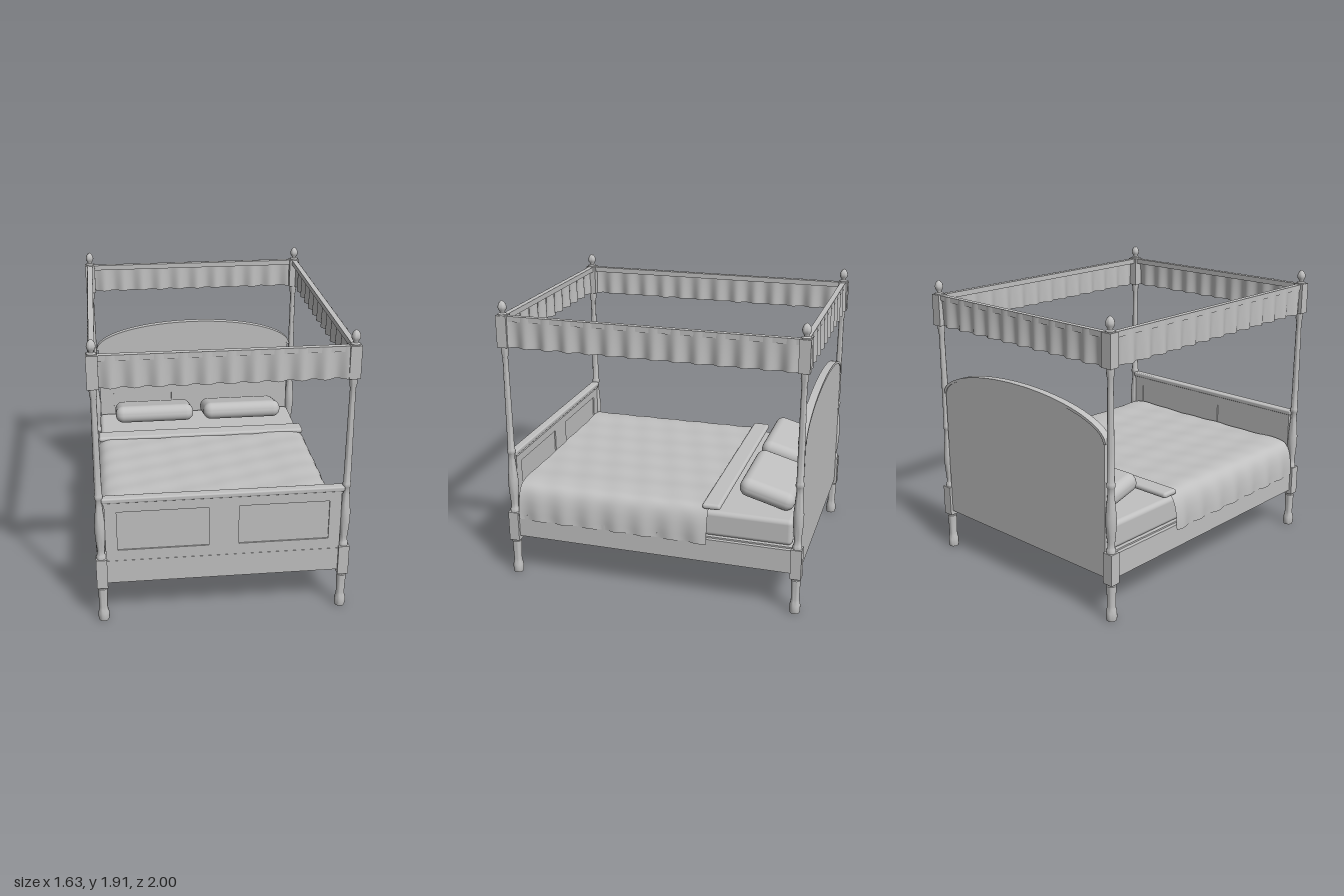
import * as THREE from 'three';
import { RoundedBoxGeometry } from 'three/addons/geometries/RoundedBoxGeometry.js';
import { toCreasedNormals } from 'three/addons/utils/BufferGeometryUtils.js';

const PX = 0.775, PZ = 0.965; // post centres

export function createModel() {
  const bed = new THREE.Group();
  bed.name = 'canopyBed';
  const grey = new THREE.MeshStandardMaterial({ color: 0xc0c0c0, side: THREE.DoubleSide });
  grey.name = 'plain grey';

  const add = (name, geometry, x = 0, y = 0, z = 0, parent = bed) => {
    const mesh = new THREE.Mesh(geometry, grey);
    mesh.name = name;
    mesh.position.set(x, y, z);
    parent.add(mesh);
    return mesh;
  };
  // box given by its centre in x and z and its bottom and top in y
  const box = (name, w, y0, y1, d, x = 0, z = 0, parent = bed) =>
    add(name, new THREE.BoxGeometry(w, y1 - y0, d), x, (y0 + y1) / 2, z, parent);
  const extrude = (shape, depth) =>
    toCreasedNormals(new THREE.ExtrudeGeometry(shape, { depth, bevelEnabled: false, curveSegments: 32 }), 0.6);
  const rect = (Type, x0, y0, x1, y1) => {
    const s = new Type();
    s.moveTo(x0, y0); s.lineTo(x1, y0); s.lineTo(x1, y1); s.lineTo(x0, y1); s.closePath();
    return s;
  };

  // turned posts with square blocks at rail and canopy height
  const lathe = (points) => toCreasedNormals(
    new THREE.LatheGeometry(points.map(([r, y]) => new THREE.Vector2(r, y)), 20), 0.7);
  const foot = lathe([[0, 0], [0.032, 0], [0.036, 0.02], [0.035, 0.055], [0.029, 0.08], [0.027, 0.1],
    [0.03, 0.2], [0.031, 0.235], [0.026, 0.24], [0.026, 0.26]]);
  const shaft = lathe([[0.03, 0.45], [0.03, 0.475], [0.024, 0.485], [0.024, 0.52], [0.029, 0.57], [0.034, 0.64],
    [0.034, 0.69], [0.028, 0.76], [0.022, 0.83], [0.021, 0.87], [0.027, 0.88], [0.027, 0.9], [0.023, 0.91],
    [0.022, 1.1], [0.019, 1.45], [0.018, 1.54], [0.024, 1.57], [0.025, 1.62]]);
  const finial = lathe([[0.03, 1.815], [0.03, 1.825], [0.016, 1.832], [0.016, 1.84], [0.026, 1.855],
    [0.028, 1.87], [0.024, 1.887], [0.014, 1.902], [0, 1.912]]);
  for (const sx of [-1, 1]) for (const sz of [-1, 1]) {
    const post = new THREE.Group();
    post.name = 'post';
    post.position.set(sx * PX, 0, sz * PZ);
    bed.add(post);
    add('postFoot', foot, 0, 0, 0, post);
    add('postShaft', shaft, 0, 0, 0, post);
    add('finial', finial, 0, 0, 0, post);
    box('lowerBlock', 0.07, 0.25, 0.455, 0.07, 0, 0, post);
    box('upperBlock', 0.07, 1.61, 1.818, 0.07, 0, 0, post);
  }

  // bed frame
  for (const s of [-1, 1]) box('sideRail', 0.032, 0.28, 0.44, 1.88, s * PX);
  box('footRail', 1.49, 0.28, 0.44, 0.04, 0, PZ);
  box('slatBase', 1.53, 0.42, 0.45, 1.88);

  // footboard with two recessed panels and a moulded cap
  const footShape = rect(THREE.Shape, -0.745, 0.44, 0.745, 0.85);
  for (const s of [-1, 1]) {
    footShape.holes.push(rect(THREE.Path, s * 0.3825 - 0.2875, 0.515, s * 0.3825 + 0.2875, 0.785));
    box('footboardPanel', 0.575, 0.515, 0.785, 0.018, s * 0.3825, PZ);
  }
  add('footboardFrame', extrude(footShape, 0.036), 0, 0, PZ - 0.018);
  box('footboardCapLower', 1.5, 0.84, 0.855, 0.046, 0, PZ);
  add('footboardCap', new RoundedBoxGeometry(1.52, 0.034, 0.058, 3, 0.01), 0, 0.868, PZ);

  // arched headboard, its edge moulding and raised panels
  const head = new THREE.Shape();
  head.moveTo(-0.742, 0.28);
  head.lineTo(0.742, 0.28);
  head.lineTo(0.742, 1.15);
  head.absellipse(0, 1.15, 0.742, 0.195, 0, Math.PI, false);
  head.closePath();
  add('headboard', extrude(head, 0.04), 0, 0, -0.983);
  const rim = new THREE.Shape();
  rim.moveTo(0.755, 1.145);
  rim.absellipse(0, 1.145, 0.755, 0.21, 0, Math.PI, false);
  rim.lineTo(-0.735, 1.145);
  rim.absellipse(0, 1.145, 0.735, 0.19, Math.PI, 0, true);
  rim.closePath();
  add('headboardMoulding', extrude(rim, 0.05), 0, 0, -0.988);
  for (const x of [-0.455, 0, 0.455]) {
    const arch = new THREE.Shape();
    arch.moveTo(-0.182, 0.52);
    arch.lineTo(0.182, 0.52);
    arch.lineTo(0.182, 0.985);
    arch.absellipse(0, 0.985, 0.182, 0.11, 0, Math.PI, false);
    arch.closePath();
    add('headboardPanel', extrude(arch, 0.014), x, 0, -0.945);
  }

  // mattress and pillows
  add('mattress', new RoundedBoxGeometry(1.5, 0.175, 1.85, 4, 0.03), 0, 0.5325, 0);
  for (const s of [-1, 1]) {
    const pillow = add('pillow', new RoundedBoxGeometry(0.59, 0.125, 0.37, 6, 0.058), s * 0.335, 0.71, -0.725);
    pillow.rotation.x = -0.27;
  }

  // quilt: cross-section swept along z, stitched in soft diamonds and rippled at the hem
  const half = [[0, 0.655], [0.35, 0.655], [0.69, 0.655], [0.735, 0.642], [0.765, 0.61], [0.785, 0.56], [0.797, 0.49], [0.802, 0.41]];
  const section = new THREE.CatmullRomCurve3([
    ...half.slice(1).reverse().map(([x, y]) => new THREE.Vector3(-x, y, 0)),
    ...half.map(([x, y]) => new THREE.Vector3(x, y, 0))], false, 'centripetal');
  const NU = 96, NV = 90;
  const profile = section.getSpacedPoints(NU);
  const quilt = new THREE.PlaneGeometry(1, 1, NU, NV);
  const qp = quilt.attributes.position;
  for (let i = 0; i < qp.count; i++) {
    const p = profile[i % (NU + 1)];
    const z = -0.38 + 1.305 * (Math.floor(i / (NU + 1)) / NV);
    const drop = THREE.MathUtils.clamp((0.64 - p.y) / 0.22, 0, 1);
    const puff = 0.004 * Math.sin(p.x * 18 + z * 14) * Math.cos(p.x * 8 - z * 16);
    const ripple = drop * (0.009 * Math.sin(z * 34) + 0.003 * Math.sin(z * 13));
    qp.setXYZ(i, p.x + Math.sign(p.x) * ripple, p.y + puff * (1 - drop), z);
  }
  quilt.computeVertexNormals();
  add('quilt', quilt);
  add('foldedQuiltEdge', new RoundedBoxGeometry(1.53, 0.038, 0.12, 5, 0.018), 0, 0.656, -0.4);

  // canopy rails with rippled valances
  const canopySide = (length, offset, angle) => {
    const side = new THREE.Group();
    side.name = 'canopySide';
    side.rotation.y = angle;
    bed.add(side);
    box('canopyRail', length, 1.78, 1.815, 0.036, 0, offset, side);
    const cloth = new THREE.PlaneGeometry(length, 0.205, Math.round(length * 90), 8);
    const p = cloth.attributes.position;
    for (let i = 0; i < p.count; i++) {
      const t = 0.5 - p.getY(i) / 0.205; // 0 at the top, 1 at the hem
      const wave = Math.sin(p.getX(i) * Math.PI * 2 / 0.141);
      p.setZ(i, wave * (0.006 + 0.009 * t));
    }
    cloth.computeVertexNormals();
    add('valance', cloth, 0, 1.7125, offset + 0.016, side);
  };
  for (const k of [0, 1]) {
    canopySide(1.49, PZ, k * Math.PI);
    canopySide(1.87, PX, Math.PI / 2 + k * Math.PI);
  }
  return bed;
}
